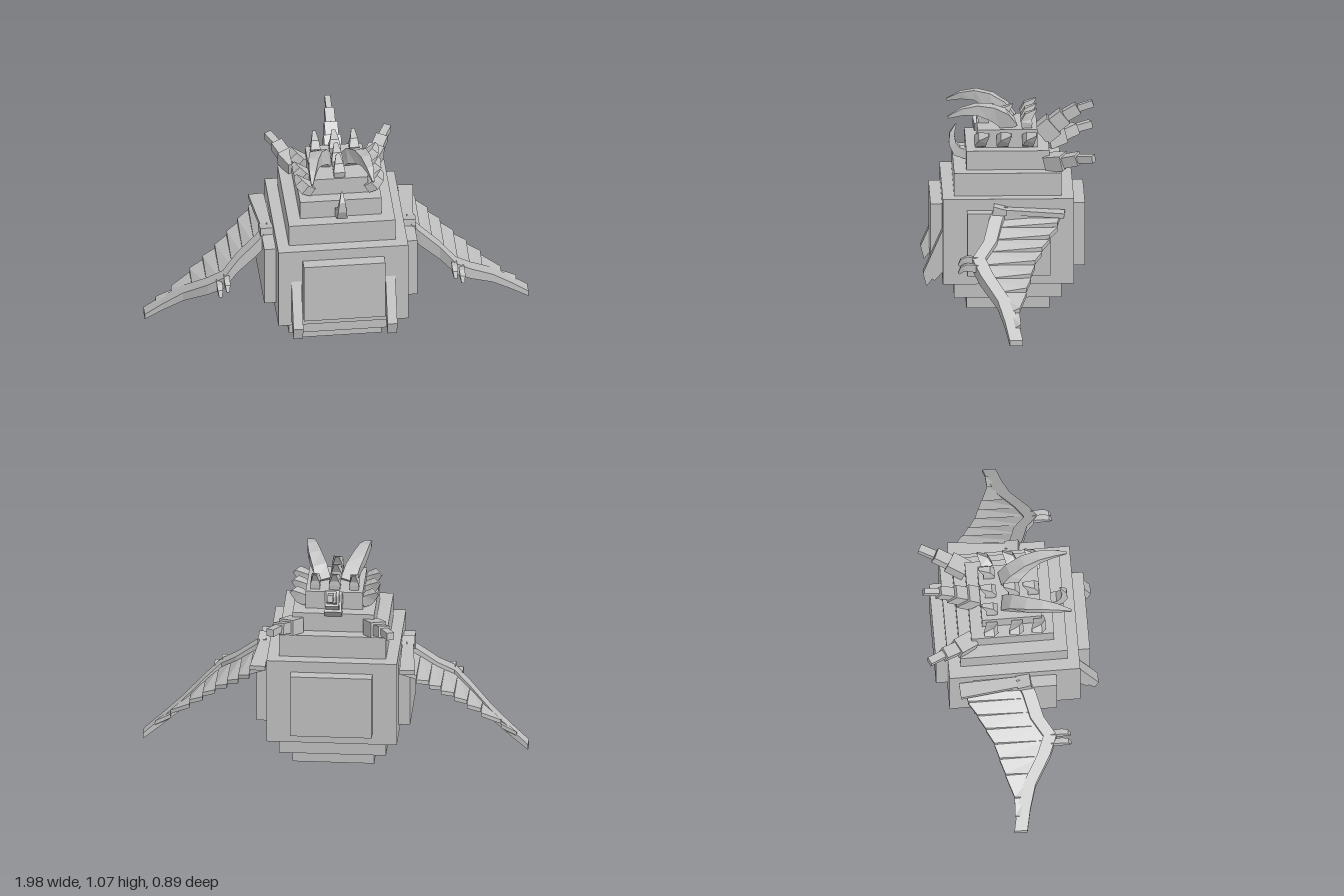
import * as THREE from 'three';

const stone = new THREE.MeshStandardMaterial({ color: 0xc0c0c0, flatShading: true });
stone.name = 'stone grey';

const V = (p) => new THREE.Vector3(...p);

// Closed solid through matching rings of points, always wound outwards
function loft(rings) {
  const tris = [];
  const n = rings[0].length, last = rings[rings.length - 1];
  for (let r = 0; r < rings.length - 1; r++) {
    for (let i = 0; i < n; i++) {
      const j = (i + 1) % n;
      const a = rings[r][i], b = rings[r][j], c = rings[r + 1][j], d = rings[r + 1][i];
      tris.push([a, b, c], [a, c, d]);
    }
  }
  const outline = rings[0].map((p) => V(p));
  const size = new THREE.Box3().setFromPoints(outline).getSize(new THREE.Vector3());
  // Caps are triangulated on the two widest axes so notched outlines work
  const axes = [0, 1, 2].sort((i, j) => size.getComponent(j) - size.getComponent(i));
  const flat = outline.map((p) => new THREE.Vector2(p.getComponent(axes[0]), p.getComponent(axes[1])));
  const turn = THREE.ShapeUtils.area(flat) < 0;
  for (const f of THREE.ShapeUtils.triangulateShape(flat, [])) {
    const [a, b, c] = turn ? [f[2], f[1], f[0]] : f;
    tris.push([rings[0][c], rings[0][b], rings[0][a]], [last[a], last[b], last[c]]);
  }
  let volume = 0;
  const o = V(rings[0][0]);
  for (const t of tris) {
    const [a, b, c] = t.map((p) => V(p).sub(o));
    volume += a.dot(b.cross(c));
  }
  const pos = tris.flatMap((t) => (volume < 0 ? [t[0], t[2], t[1]] : t)).flat();
  const g = new THREE.BufferGeometry();
  g.setAttribute('position', new THREE.Float32BufferAttribute(pos, 3));
  g.computeVertexNormals();
  return g;
}

// Rectangular ring across direction t; width lies along the hint axis
function ring(c, t, w, h, hint) {
  const side = hint.clone().addScaledVector(t, -t.dot(hint)).normalize();
  const up = t.clone().cross(side);
  return [[-1, -1], [1, -1], [1, 1], [-1, 1]].map(([i, j]) =>
    V(c).addScaledVector(side, i * w / 2).addScaledVector(up, j * h / 2).toArray());
}

const X = new THREE.Vector3(1, 0, 0), Z = new THREE.Vector3(0, 0, 1);

// Tapered curved spike along a path; sizes are [width, height] per point
function spike(path, sizes, hint = X) {
  return loft(path.map((p, i) => {
    const a = path[Math.max(0, i - 1)], b = path[Math.min(path.length - 1, i + 1)];
    return ring(p, V(b).sub(V(a)).normalize(), sizes[i][0], sizes[i][1], hint);
  }));
}

// Linear lookup in a list of [x, value] pairs
function lookup(list, x) {
  for (let i = 1; i < list.length; i++) {
    const [x0, v0] = list[i - 1], [x1, v1] = list[i];
    if (x <= x1 || i === list.length - 1) return v0 + (v1 - v0) * (x - x0) / (x1 - x0);
  }
}

export function createModel() {
  const root = new THREE.Group();
  const add = (name, geometry, parent = root) => {
    const m = new THREE.Mesh(geometry, stone);
    m.name = name;
    parent.add(m);
    return m;
  };
  const slab = (name, hx, y0, y1, z0, z1) =>
    add(name, new THREE.BoxGeometry(2 * hx, y1 - y0, z1 - z0).translate(0, (y0 + y1) / 2, (z0 + z1) / 2));

  // Stepped block body
  slab('bodyCore', 0.21, 0, 0.84, -0.207, 0.219);
  slab('bodyStep', 0.275, 0.075, 0.74, -0.268, 0.283);
  slab('bodyMain', 0.335, 0.165, 0.62, -0.33, 0.343);
  slab('sidePanels', 0.395, 0.226, 0.56, -0.207, 0.219);
  slab('frontBackPanels', 0.21, 0.226, 0.56, -0.39, 0.403);
  slab('crown', 0.147, 0.84, 0.935, -0.147, 0.16);

  // Nose horn
  add('noseHorn', spike(
    [[0, 0.768, 0.21], [0, 0.783, 0.262], [0, 0.825, 0.286], [0, 0.875, 0.288], [0, 0.925, 0.267]],
    [[0.06, 0.05], [0.055, 0.05], [0.045, 0.036], [0.03, 0.025], [0.008, 0.006]]));

  // Back tentacles made of shrinking blocks
  const tentacle = (name, path, sizes) => {
    const g = new THREE.Group();
    g.name = name;
    root.add(g);
    sizes.forEach(([w, h], i) => {
      const t = V(path[i + 1]).sub(V(path[i])).normalize();
      add('tentacleBlock', loft([ring(path[i], t, w, h, X), ring(path[i + 1], t, w, h, X)]), g);
    });
  };
  tentacle('topTentacle',
    [[0, 0.865, -0.17], [0, 0.92, -0.235], [0, 0.965, -0.292], [0, 1.005, -0.36], [0, 1.03, -0.437]],
    [[0.09, 0.11], [0.07, 0.085], [0.05, 0.06], [0.03, 0.036]]);

  // Spikes on top of the crown
  const topSpike = (x, z, s = 1) => add('topSpike', spike(
    [[x, 0.93, z], [x, 0.965, z + 0.003], [x, 0.995, z - 0.008], [x, 1.03, z - 0.05]],
    [[0.055 * s, 0.05], [0.06 * s, 0.06], [0.045 * s, 0.045], [0.02 * s, 0.004]]));
  topSpike(0, -0.095);
  topSpike(0, 0.025);
  topSpike(0, 0.125);

  // Wing lines seen from above: trailing edge and bone centre line
  const trailing = [[0.36, -0.262], [0.43, -0.242], [0.51, -0.185], [0.62, -0.12],
    [0.7, -0.095], [0.85, -0.038], [0.985, -0.045]];
  const bone = [[0.36, 0.045], [0.42, 0.075], [0.52, 0.105], [0.6, 0.165], [0.68, 0.125],
    [0.8, 0.04], [0.9, 0.005], [0.99, -0.017]];
  const slope = (x) => 0.54 - 0.785 * (x - 0.36);

  for (const s of [1, -1]) {
    const side = s > 0 ? 'left' : 'right';
    const mir = (pts) => pts.map(([x, y, z]) => [s * x, y, z]);

    // Large curved horn
    add(side + 'Horn', spike(
      mir([[0.065, 0.93, -0.005], [0.085, 0.985, 0.034], [0.115, 1.022, 0.096],
        [0.135, 1.042, 0.167], [0.148, 1.035, 0.24], [0.158, 1.008, 0.312]]),
      [[0.08, 0.085], [0.075, 0.08], [0.065, 0.07], [0.052, 0.052], [0.035, 0.035], [0.01, 0.012]]));

    // Spikes on the crown's side and rear top
    for (const z of [0.145, 0.03, -0.1]) {
      add(side + 'CrownSpike', spike(
        mir([[0.14, 0.865, z], [0.175, 0.885, z + 0.003], [0.2, 0.908, z - 0.01], [0.222, 0.93, z - 0.042]]),
        [[0.05, 0.05], [0.06, 0.06], [0.05, 0.05], [0.006, 0.02]], Z));
    }
    topSpike(s * 0.1, -0.095, 0.85);

    // Side tentacle
    tentacle(side + 'Tentacle',
      mir([[0.19, 0.772, -0.2], [0.238, 0.792, -0.285], [0.272, 0.815, -0.355], [0.31, 0.825, -0.432]]),
      [[0.085, 0.08], [0.062, 0.058], [0.04, 0.038]]);

    // Front fang with a notched end
    const fang = [[0.435, 0.343], [0.205, 0.443], [0.135, 0.425], [0.175, 0.395], [0.165, 0.383], [0.21, 0.343]];
    add(side + 'Fang', loft([0.217, 0.268].map((x) => fang.map(([y, z]) => [s * x, y, z]))));

    // Wing
    const wing = new THREE.Group();
    wing.name = side + 'Wing';
    root.add(wing);
    add('wingBone', loft(bone.map(([x, z]) => {
      const y = slope(x), h = 0.045 - 0.03 * (x - 0.36) / 0.63, w = 0.034;
      return mir([[x, y - h, z - w], [x, y - h, z + w], [x, y + h, z + w], [x, y + h, z - w]]);
    })), wing);

    // Overlapping slats, each lifted at its outer trailing corner
    const cuts = [0.36, 0.43, 0.49, 0.55, 0.615, 0.68, 0.75, 0.85, 0.93];
    for (let i = 0; i < cuts.length - 1; i++) {
      const section = (x, lift) => {
        const y = slope(x), f = lookup(bone, x), b = lookup(trailing, x), t = 0.011;
        return mir([[x, y - t, f], [x, y + t, f], [x, y + t + lift, b], [x, y - t + lift, b]]);
      };
      add('wingSlat', loft([section(cuts[i], 0), section(cuts[i + 1], 0.024)]), wing);
    }

    // Shoulder block and trailing root bar
    add('shoulder', spike(mir([[0.365, 0.575, 0.085], [0.37, 0.565, 0.015]]),
      [[0.07, 0.045], [0.07, 0.03]]), wing);
    add('wingRootBar', spike(mir([[0.365, 0.567, 0.04], [0.385, 0.553, -0.28]]),
      [[0.055, 0.025], [0.08, 0.025]]), wing);

    // Elbow claws
    for (const x of [0.587, 0.625]) {
      const y = slope(x) + 0.005;
      add('wingClaw', spike(
        mir([[x, y, 0.17], [x, y + 0.008, 0.225], [x, y, 0.25], [x, y - 0.025, 0.268]]),
        [[0.026, 0.04], [0.03, 0.035], [0.026, 0.028], [0.016, 0.012]]), wing);
    }
  }
  return root;
}
